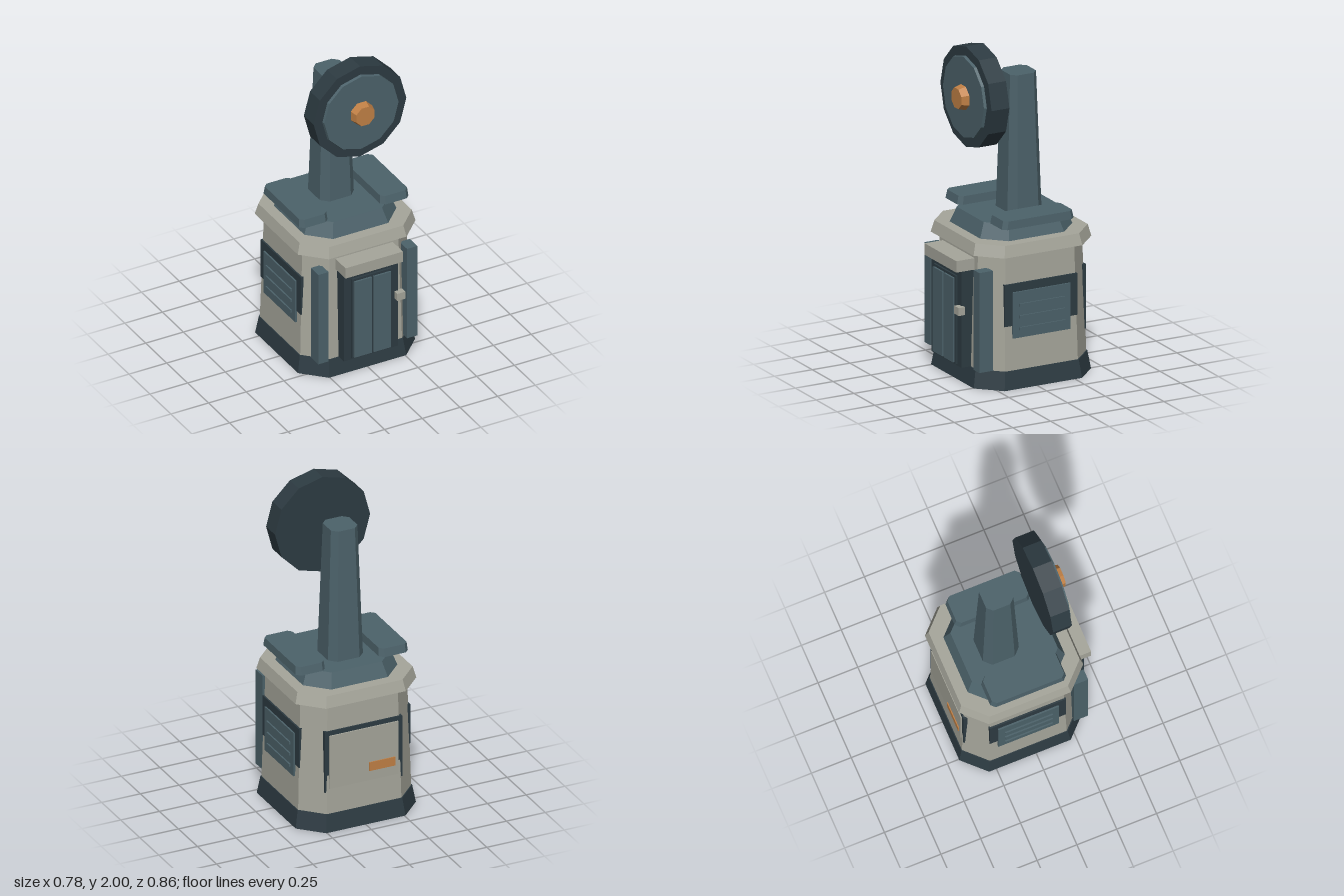
import * as THREE from 'three';

const mat = (name, color) => {
  const m = new THREE.MeshStandardMaterial({ color, flatShading: true });
  m.name = name;
  return m;
};

// Closed prism between two chamfered rectangles; each ring is [y, halfX, halfZ, chamfer]
function chamferedPrism(lower, upper) {
  const ring = ([y, hx, hz, c]) => [
    [hx, y, hz - c], [hx, y, c - hz], [hx - c, y, -hz], [c - hx, y, -hz],
    [-hx, y, c - hz], [-hx, y, hz - c], [c - hx, y, hz], [hx - c, y, hz],
  ];
  const b = ring(lower), t = ring(upper), pos = [];
  const tri = (...corners) => corners.forEach((p) => pos.push(...p));
  for (let i = 0; i < 8; i++) {
    const j = (i + 1) % 8;
    tri(b[i], b[j], t[j]);
    tri(b[i], t[j], t[i]);
    if (i > 0 && i < 7) {
      tri(t[0], t[i], t[j]);
      tri(b[0], b[j], b[i]);
    }
  }
  const g = new THREE.BufferGeometry();
  g.setAttribute('position', new THREE.Float32BufferAttribute(pos, 3));
  g.computeVertexNormals();
  return g;
}

export function createModel() {
  const stone = mat('paleStone', 0xa6a69b);
  const teal = mat('slateTeal', 0x4c626a);
  const dark = mat('darkSlate', 0x2d3b42);
  const copper = mat('copper', 0xc08045);
  const model = new THREE.Group();
  model.name = 'relayStation';

  const add = (name, geometry, material, x = 0, y = 0, z = 0, parent = model) => {
    const mesh = new THREE.Mesh(geometry, material);
    mesh.name = name;
    mesh.position.set(x, y, z);
    parent.add(mesh);
    return mesh;
  };
  // Box given by its extents on each axis
  const box = (name, material, [x0, x1], [y0, y1], [z0, z1], parent = model) =>
    add(name, new THREE.BoxGeometry(x1 - x0, y1 - y0, z1 - z0), material,
      (x0 + x1) / 2, (y0 + y1) / 2, (z0 + z1) / 2, parent);
  // Tapered octagonal block
  const octagon = (name, material, y0, r0, y1, r1, z, k = 0.34) =>
    add(name, chamferedPrism([y0, r0, r0, r0 * k], [y1, r1, r1, r1 * k]), material, 0, 0, z);

  // Building shell, stacked from the ground up
  octagon('base', dark, 0, 0.388, 0.11, 0.37, -0.04);
  octagon('walls', stone, 0.11, 0.365, 0.81, 0.345, -0.04);
  octagon('cornice', stone, 0.81, 0.39, 0.88, 0.372, -0.04);
  octagon('roof', teal, 0.88, 0.305, 0.97, 0.27, -0.04, 0.4);
  octagon('mast', teal, 0.97, 0.113, 1.8, 0.086, -0.09, 0.38);

  // Mirrored roof pads, front pillars and side vents
  for (const s of [1, -1]) {
    add('roofPad', chamferedPrism([0.97, 0.094, 0.238, 0.025], [1.02, 0.09, 0.227, 0.023]),
      teal, s * 0.268, 0, -0.03);
    add('frontPillar', new THREE.BoxGeometry(0.068, 0.61, 0.09), teal, s * 0.294, 0.42, 0.306);

    const vent = new THREE.Group();
    vent.name = s > 0 ? 'leftVent' : 'rightVent';
    model.add(vent);
    const span = (a, b) => (s > 0 ? [a, b] : [-b, -a]);
    box('ventFrame', dark, span(0.33, 0.36), [0.38, 0.635], [-0.28, 0.2], vent);
    box('ventPanel', teal, span(0.34, 0.37), [0.305, 0.585], [-0.23, 0.15], vent);
    for (const y of [0.36, 0.432, 0.504]) {
      box('ventSlat', teal, span(0.365, 0.379), [y - 0.009, y + 0.009], [-0.19, 0.11], vent);
    }
  }

  // Doorway with twin leaves, canopy and handle
  const door = new THREE.Group();
  door.name = 'doorway';
  model.add(door);
  box('doorFrame', dark, [-0.18, 0.18], [0.11, 0.7], [0.28, 0.388], door);
  box('doorInset', dark, [-0.132, 0.132], [0.12, 0.66], [0.38, 0.4], door);
  for (const s of [1, -1]) {
    add('doorLeaf', new THREE.BoxGeometry(0.114, 0.515, 0.03), teal, s * 0.064, 0.388, 0.397, door);
  }
  box('doorCanopy', stone, [-0.19, 0.19], [0.7, 0.77], [0.28, 0.427], door);
  box('doorHandle', stone, [0.155, 0.209], [0.44, 0.488], [0.38, 0.422], door);

  // Rear service hatch
  const hatch = new THREE.Group();
  hatch.name = 'rearHatch';
  model.add(hatch);
  box('hatchFrame', dark, [-0.25, 0.25], [0.245, 0.64], [-0.398, -0.375], hatch);
  box('hatchPanel', stone, [-0.222, 0.222], [0.27, 0.612], [-0.406, -0.38], hatch);
  box('hatchLabel', copper, [-0.2, -0.03], [0.332, 0.388], [-0.412, -0.4], hatch);

  // Dish disc facing forward, with inset face and hub
  const disc = (name, material, rBack, rFront, z0, z1, sides, turn = 0) => {
    const g = new THREE.CylinderGeometry(rFront, rBack, z1 - z0, sides);
    g.rotateY(turn).rotateX(Math.PI / 2);
    add(name, g, material, 0, 1.693, (z0 + z1) / 2);
  };
  disc('dishRim', dark, 0.307, 0.307, 0.14, 0.258, 12);
  disc('dishFace', teal, 0.252, 0.246, 0.25, 0.275, 12);
  disc('dishHub', copper, 0.078, 0.065, 0.27, 0.322, 8, Math.PI / 8);

  return model;
}
